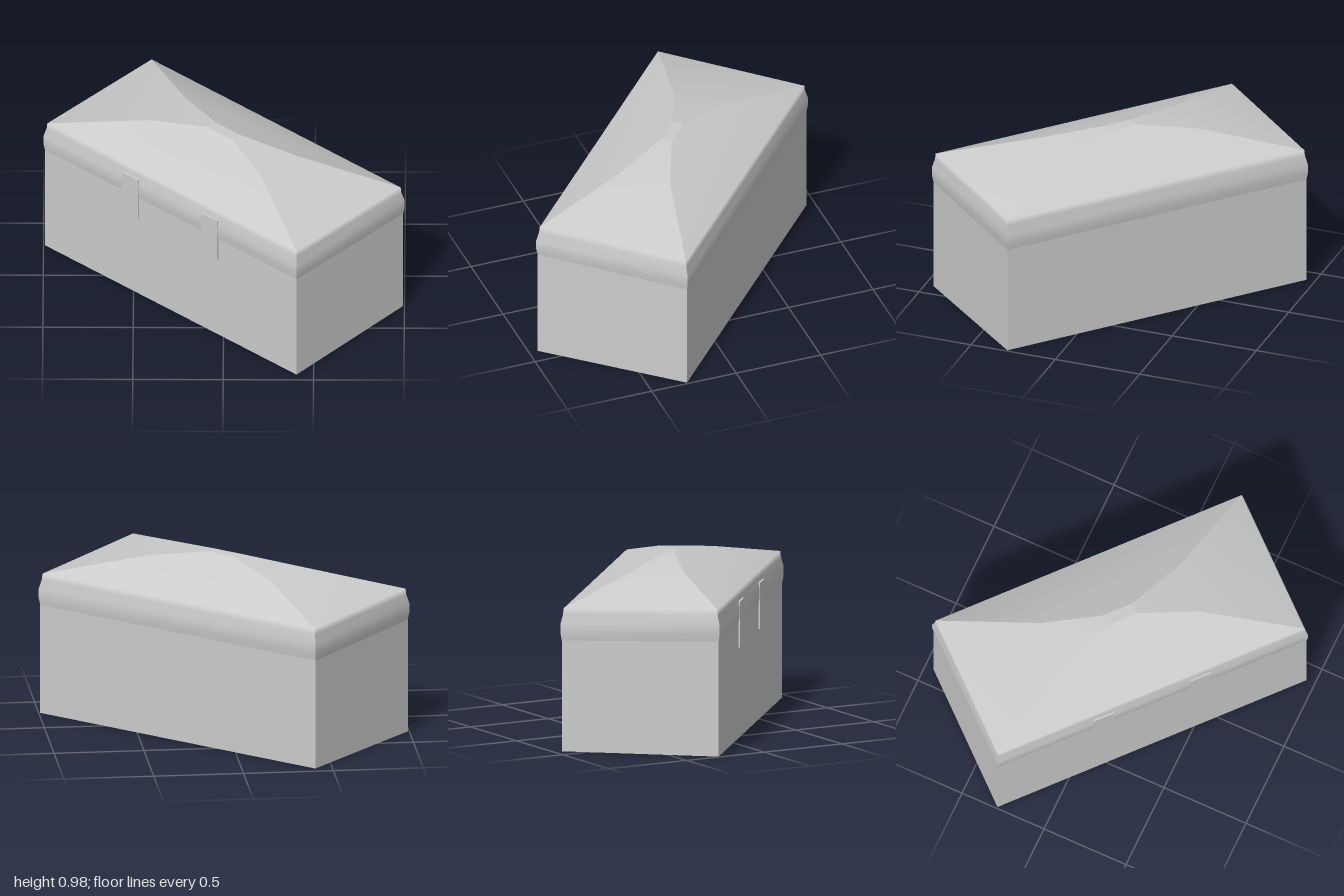
import * as THREE from 'three';

const HX = 0.933, HZ = 0.442; // half length and half depth of the body
const tilt = (z) => 0.011 * z / HZ; // the lid and seam drop slightly toward the back

// Lid rings from seam to crown: [half length, half depth, height]
const RINGS = [
  [HX, HZ, 0.634],
  [HX + 0.007, HZ + 0.007, 0.68],
  [HX + 0.007, HZ + 0.007, 0.725],
  [HX - 0.006, HZ - 0.006, 0.78],
  [HX - 0.009, HZ - 0.009, 0.814],
  [0.415, 0.146, 0.931],
  [0.092, 0.033, 0.979],
];

// Corner k of a ring, counter-clockwise seen from above
const SIGNS = [[-1, 1], [1, 1], [1, -1], [-1, -1]];
function corner([hx, hz, y], k) {
  const [sx, sz] = SIGNS[k % 4];
  return [sx * hx, y + tilt(sz * hz), sz * hz];
}

function surface(points, index, material) {
  const g = new THREE.BufferGeometry();
  g.setAttribute('position', new THREE.Float32BufferAttribute(points.flat(), 3));
  g.setIndex(index);
  g.computeVertexNormals();
  return new THREE.Mesh(g, material);
}

export function createModel() {
  const model = new THREE.Group();
  model.name = 'chest';
  const material = new THREE.MeshStandardMaterial({ color: 0xcccccc });

  // Body, its top edge following the sloping seam
  const bodyGeo = new THREE.BoxGeometry(2 * HX, 0.634, 2 * HZ).translate(0, 0.317, 0);
  const p = bodyGeo.attributes.position;
  for (let i = 0; i < p.count; i++) {
    if (p.getY(i) > 0.3) p.setY(i, p.getY(i) + tilt(p.getZ(i)));
  }
  bodyGeo.computeVertexNormals();
  const body = new THREE.Mesh(bodyGeo, material);
  body.name = 'body';
  model.add(body);

  // Lid: four smooth panels meeting at sharp hips, plus a small crown
  const lid = new THREE.Group();
  lid.name = 'lid';
  for (let k = 0; k < 4; k++) {
    const points = [], index = [];
    RINGS.forEach((ring, r) => {
      points.push(corner(ring, k), corner(ring, k + 1));
      if (r > 0) {
        const a = 2 * r - 2;
        index.push(a, a + 1, a + 3, a, a + 3, a + 2);
      }
    });
    const panel = surface(points, index, material);
    panel.name = 'lidPanel';
    lid.add(panel);
  }
  const top = RINGS[RINGS.length - 1];
  const crown = surface([0, 1, 2, 3].map((k) => corner(top, k)), [0, 1, 2, 0, 2, 3], material);
  crown.name = 'lidCrown';
  lid.add(crown);
  model.add(lid);

  // Two thin latch plates across the front seam
  for (const s of [-1, 1]) {
    const latch = new THREE.Mesh(new THREE.BoxGeometry(0.12, 0.26, 0.02), material);
    latch.name = 'latch';
    latch.position.set(s * 0.294, 0.64, HZ);
    model.add(latch);
  }

  // The chest stands at an angle
  model.rotation.y = -0.725;
  const group = new THREE.Group();
  group.add(model);
  return group;
}
